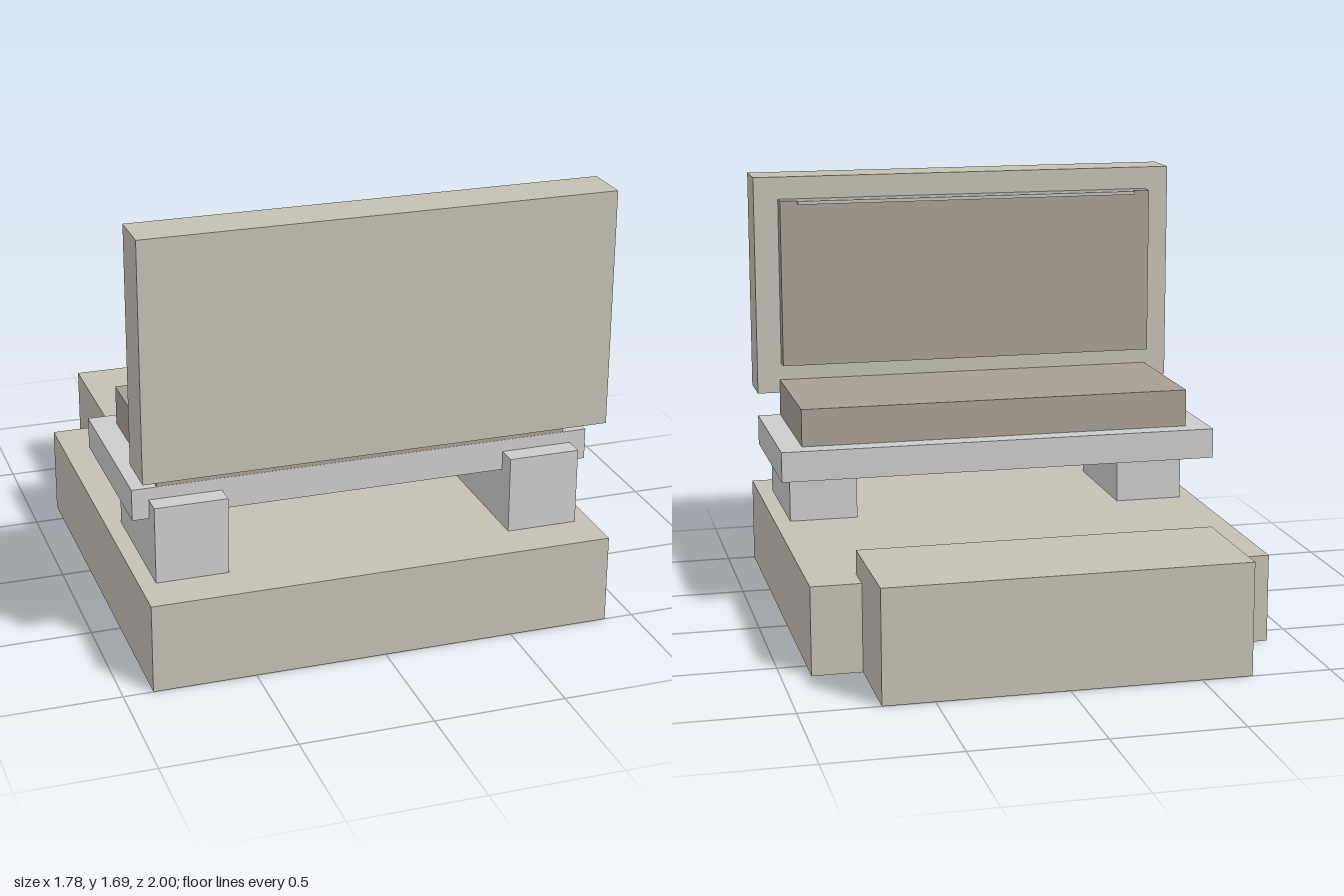
import * as THREE from 'three';

const stone = new THREE.MeshStandardMaterial({ color: 0xc4bfb2 });
const dark = new THREE.MeshStandardMaterial({ color: 0xa69f94 });
const grey = new THREE.MeshStandardMaterial({ color: 0xcccccc });

// Box given by its extents along each axis
function block(name, material, [x0, x1], [y0, y1], [z0, z1]) {
  const mesh = new THREE.Mesh(new THREE.BoxGeometry(x1 - x0, y1 - y0, z1 - z0), material);
  mesh.position.set((x0 + x1) / 2, (y0 + y1) / 2, (z0 + z1) / 2);
  mesh.name = name;
  return mesh;
}

export function createModel() {
  const model = new THREE.Group();
  model.name = 'benchOnPlinth';

  // Plinth with a raised block set into its rear edge
  model.add(block('plinth', stone, [-0.888, 0.888], [0, 0.343], [-0.62, 1]));
  model.add(block('rearBlock', stone, [-0.695, 0.695], [0, 0.437], [-1, -0.5]));

  // Two supports whose tops run into the seat slab
  for (const side of [-1, 1]) {
    const xs = [side * 0.55, side * 0.825].sort((a, b) => a - b);
    model.add(block(side > 0 ? 'leftSupport' : 'rightSupport', grey, xs, [0.343, 0.64], [0.3, 0.828]));
  }

  // Seat slab and cushion
  model.add(block('seatSlab', grey, [-0.888, 0.888], [0.566, 0.687], [0.065, 0.75]));
  model.add(block('seatCushion', dark, [-0.795, 0.795], [0.687, 0.838], [0.143, 0.749]));

  // Upright panel with its pad and thin trim strip
  model.add(block('uprightPanel', stone, [-0.888, 0.888], [0.783, 1.688], [0.738, 0.922]));
  model.add(block('panelPad', dark, [-0.788, 0.788], [0.908, 1.596], [0.673, 0.738]));
  model.add(block('trimStrip', stone, [-0.717, 0.717], [1.582, 1.596], [0.651, 0.673]));

  return model;
}
